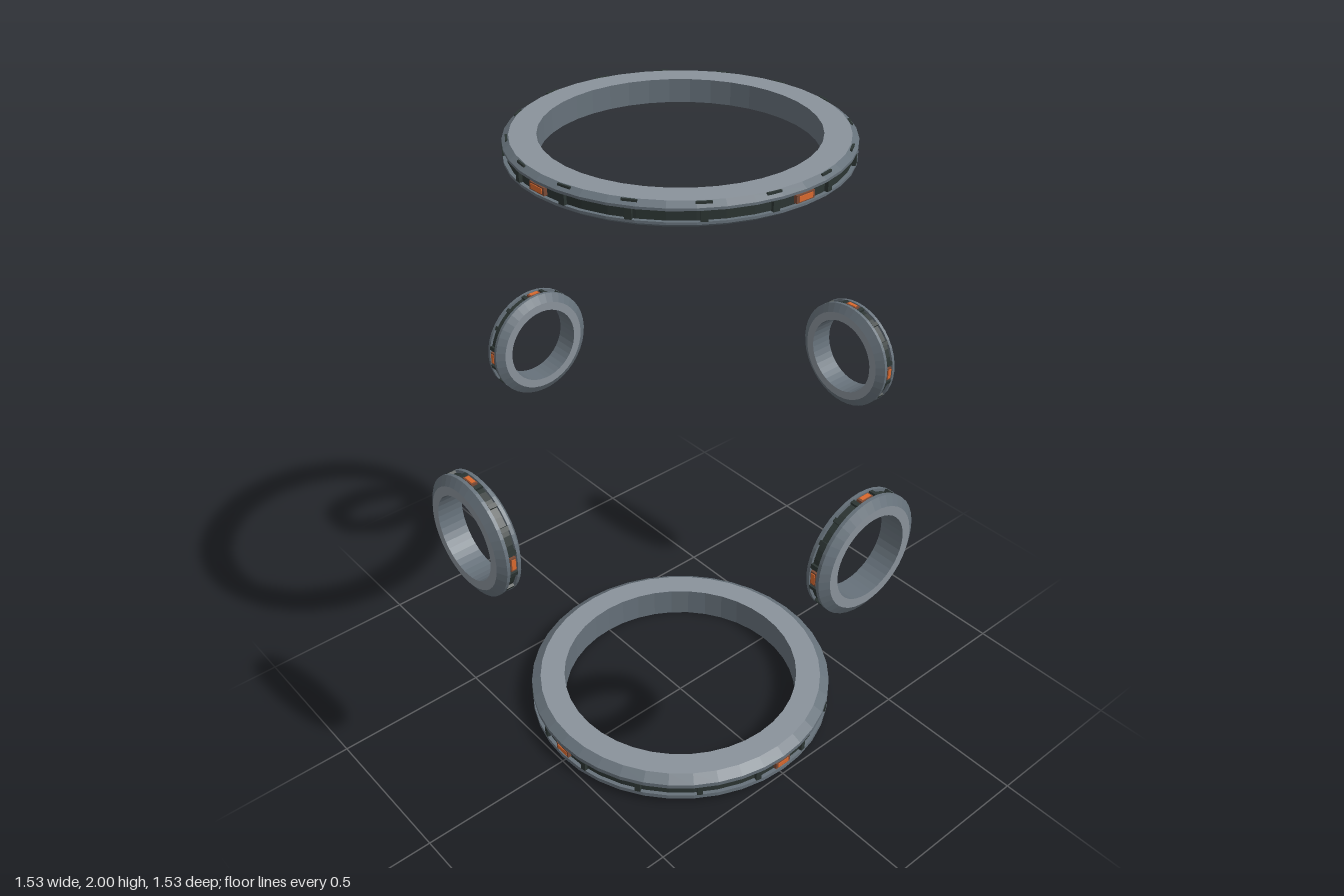
import * as THREE from 'three';

const mat = (name, color) => {
  const m = new THREE.MeshStandardMaterial({ color, flatShading: true });
  m.name = name;
  return m;
};

export function createModel() {
  const steel = mat('pale steel', 0x8a929b);
  const shell = mat('slate shell', 0x66717a);
  const dark = mat('dark groove', 0x2c3533);
  const rust = mat('lamp housing', 0x7a4a35);
  const orange = mat('orange lamp', 0xd9692e);

  const add = (parent, name, geometry, material) => {
    const mesh = new THREE.Mesh(geometry, material);
    mesh.name = name;
    parent.add(mesh);
    return mesh;
  };

  // One ring about the y axis: R outer, r inner, h half height, c/ch chamfer, g groove half height, d groove depth
  function makeRing(name, { R, r, h, c, ch, g, d, lamp }) {
    const ring = new THREE.Group();
    ring.name = name;
    const band = (part, pts, material) => add(ring, part,
      new THREE.LatheGeometry(pts.map(p => new THREE.Vector2(...p)), 40), material);

    band('lowerFace', [[r, -h], [R - c, -h]], steel);
    band('lowerRail', [[R - c, -h], [R, -h + ch], [R, -g], [R - d, -g]], shell);
    band('groove', [[R - d, -g], [R - d, g]], dark);
    band('upperRail', [[R - d, g], [R, g], [R, h - ch], [R - c, h]], shell);
    band('upperFace', [[R - c, h], [r, h]], steel);
    band('innerWall', [[r, h], [r, -h]], shell);

    // Ribs across the groove, and a lamp at each quarter
    for (let i = 0; i < 16; i++) {
      const a = (i + 0.5) * Math.PI / 8;
      const rib = add(ring, 'grooveRib', new THREE.BoxGeometry(lamp * 0.3, g * 2, d), dark);
      rib.position.set(Math.sin(a) * (R - d / 2), 0, Math.cos(a) * (R - d / 2));
      rib.rotation.y = a;
    }
    for (let i = 0; i < 4; i++) {
      const unit = new THREE.Group();
      unit.name = 'lamp';
      unit.rotation.y = i * Math.PI / 2;
      add(unit, 'lampHousing', new THREE.BoxGeometry(lamp, g * 1.5, d), rust).position.z = R - d / 2 - 0.002;
      add(unit, 'lampLens', new THREE.BoxGeometry(lamp * 0.75, g, 0.004), orange).position.z = R - 0.002;
      ring.add(unit);
    }
    return ring;
  }

  const model = new THREE.Group();
  model.name = 'ringArray';

  // Large rings below and above
  const base = makeRing('bottomRing', { R: 0.5, r: 0.39, h: 0.05, c: 0.03, ch: 0.02, g: 0.016, d: 0.012, lamp: 0.06 });
  base.position.y = 0.05;
  const top = makeRing('topRing', { R: 0.46, r: 0.37, h: 0.033, c: 0.018, ch: 0.012, g: 0.014, d: 0.01, lamp: 0.06 });
  top.position.y = 1.967;
  model.add(base, top);

  // Dark notches along the upper edge of the top ring
  for (let i = 0; i < 16; i++) {
    const a = (i + 0.5) * Math.PI / 8;
    const notch = add(top, 'edgeNotch', new THREE.BoxGeometry(0.04, 0.006, 0.006), dark);
    notch.position.set(Math.sin(a) * 0.447, 0.03, Math.cos(a) * 0.447);
    notch.rotation.y = a;
  }

  // Four small upright rings facing outward
  ['front', 'left', 'back', 'right'].forEach((side, i) => {
    const arm = new THREE.Group();
    arm.name = side + 'Side';
    arm.rotation.y = i * Math.PI / 2;
    const ring = makeRing(side + 'Ring', { R: 0.178, r: 0.125, h: 0.038, c: 0.026, ch: 0.016, g: 0.012, d: 0.008, lamp: 0.042 });
    ring.rotation.x = Math.PI / 2;
    ring.position.set(0, 1.05, 0.726);
    arm.add(ring);
    model.add(arm);
  });
  return model;
}
